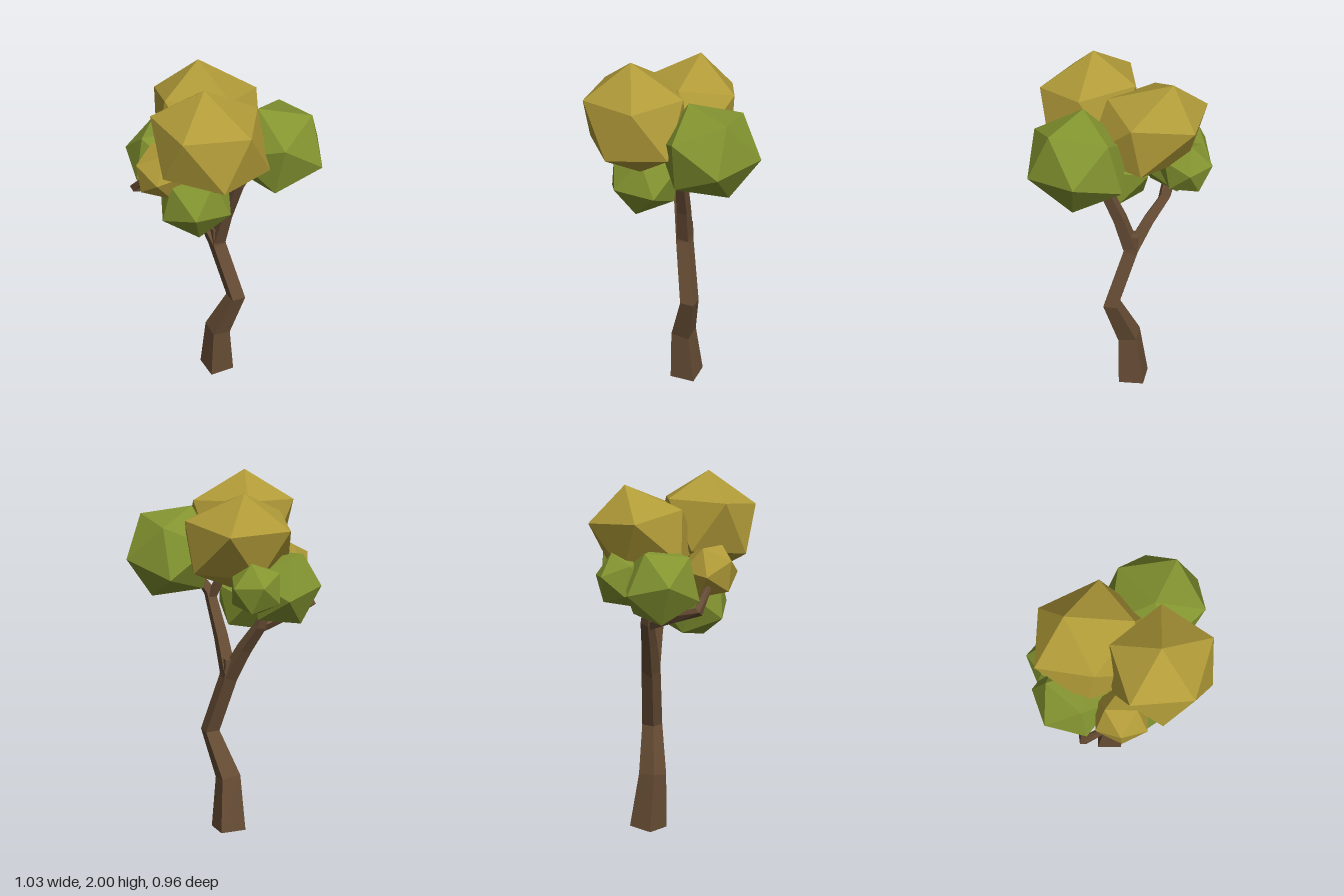
import * as THREE from 'three';

const mat = (color) => new THREE.MeshStandardMaterial({ color, flatShading: true });
const V = (a) => new THREE.Vector3(a[0], a[1], a[2]);

// Four-sided tapering limb through [x, y, z, radius] stations, capped at both ends
function limb(name, stations, material) {
  const pts = stations.map(V);
  const side = new THREE.Vector3(Math.cos(1.99), 0, Math.sin(1.99));
  const pos = [], index = [];
  const last = pts.length - 1;
  pts.forEach((p, i) => {
    const t = new THREE.Vector3();
    if (i > 0) t.add(p.clone().sub(pts[i - 1]).normalize());
    if (i < last) t.add(pts[i + 1].clone().sub(p).normalize());
    t.normalize();
    const u = side.clone().addScaledVector(t, -side.dot(t)).normalize();
    const v = t.clone().cross(u);
    for (let k = 0; k < 4; k++) {
      const a = k * Math.PI / 2, r = stations[i][3];
      const c = p.clone().addScaledVector(u, r * Math.cos(a)).addScaledVector(v, r * Math.sin(a));
      pos.push(c.x, Math.max(c.y, 0), c.z);
      if (i < last) {
        const a0 = i * 4 + k, b0 = i * 4 + (k + 1) % 4;
        index.push(a0, b0, b0 + 4, a0, b0 + 4, a0 + 4);
      }
    }
  });
  const e = last * 4;
  index.push(0, 2, 1, 0, 3, 2, e, e + 1, e + 2, e, e + 2, e + 3);
  const g = new THREE.BufferGeometry();
  g.setAttribute('position', new THREE.Float32BufferAttribute(pos, 3));
  g.setIndex(index);
  const flat = g.toNonIndexed();
  flat.computeVertexNormals();
  const mesh = new THREE.Mesh(flat, material);
  mesh.name = name;
  return mesh;
}

function leafMesh(name, center, matrix, radius, material) {
  const geometry = new THREE.IcosahedronGeometry(radius, 0).applyMatrix4(matrix);
  geometry.computeVertexNormals();
  const mesh = new THREE.Mesh(geometry, material);
  mesh.position.copy(V(center));
  mesh.name = name;
  return mesh;
}

// Regular leaf clump, turned so that two neighbouring corners point along p and q
function clump(name, center, radius, p, q, material) {
  const a = V(p).normalize(), b = V(q).normalize();
  const y = a.clone().add(b).normalize();
  const x = b.clone().sub(a).normalize();
  const matrix = new THREE.Matrix4().makeBasis(x, y, x.clone().cross(y));
  return leafMesh(name, center, matrix, radius, material);
}

// Uneven leaf clump: one face has its corners at p, q, s (counter-clockwise from outside)
function skewedClump(name, center, p, q, s, material) {
  const t = (1 + Math.sqrt(5)) / 2;
  const corners = [[1, t, 0], [-1, t, 0], [0, 1, t]].map((c) => V(c).normalize());
  const matrix = new THREE.Matrix4().makeBasis(V(p), V(q), V(s))
    .multiply(new THREE.Matrix4().makeBasis(...corners).invert());
  return leafMesh(name, center, matrix, 1, material);
}

export function createModel() {
  const tree = new THREE.Group();
  tree.name = 'tree';
  const bark = mat(0x674d35), green = mat(0x839430), gold = mat(0xb09a38);

  // Crooked trunk and its branches
  tree.add(
    limb('trunk', [
      [-0.037, 0.005, -0.102, 0.104], [-0.034, 0.31, -0.071, 0.077], [0.065, 0.57, -0.015, 0.057],
      [-0.035, 0.9, -0.08, 0.053], [-0.04, 1.01, -0.085, 0.05],
    ], bark),
    limb('rightBranch', [
      [-0.035, 0.92, -0.08, 0.05], [0.005, 1.12, -0.03, 0.043], [0.065, 1.35, 0.05, 0.035],
      [0.15, 1.48, 0.06, 0.024],
    ], bark),
    limb('upperBranch', [
      [0.06, 1.32, 0.04, 0.03], [0, 1.45, 0.01, 0.025], [-0.03, 1.58, -0.02, 0.02],
    ], bark),
    limb('leftBranch', [
      [-0.035, 0.9, -0.08, 0.052], [-0.12, 1.08, -0.14, 0.043], [-0.2, 1.22, -0.2, 0.035],
      [-0.25, 1.36, -0.22, 0.022],
    ], bark),
    limb('sideTwig', [
      [-0.18, 1.2, -0.19, 0.03], [-0.34, 1.26, -0.13, 0.028], [-0.485, 1.31, -0.06, 0.027],
      [-0.41, 1.43, 0.05, 0.02],
    ], bark),
  );

  // Leaf clumps
  tree.add(
    skewedClump('frontGoldClump', [-0.1, 1.705, 0.225],
      [-0.03, 0.295, 0], [-0.16, 0.115, 0.22], [0.18, 0.115, 0.2], gold),
    skewedClump('backGoldClump', [-0.08, 1.665, -0.15],
      [-0.03, 0.275, -0.13], [0.105, 0.17, 0.185], [0.275, 0.125, -0.065], gold),
    skewedClump('rightGreenClump', [0.27, 1.578, 0.058],
      [-0.11, 0.242, 0.037], [-0.003, 0.108, 0.272], [0.17, 0.197, 0.057], green),
    clump('frontGreenClump', [-0.17, 1.31, 0.1], 0.213, [-0.01, -0.02, 0.21], [0.17, -0.05, 0.11], green),
    clump('leftGreenClump', [-0.31, 1.43, -0.18], 0.222, [-0.205, 0.02, -0.085], [-0.04, -0.03, -0.215], green),
    clump('backGreenClump', [-0.17, 1.455, -0.33], 0.152, [-0.03, 0.03, -0.145], [0.115, 0.02, -0.1], green),
    clump('smallGoldClump', [-0.345, 1.49, 0.1], 0.155, [-0.025, 0, 0.145], [-0.115, -0.1, 0.03], gold),
  );
  return tree;
}
